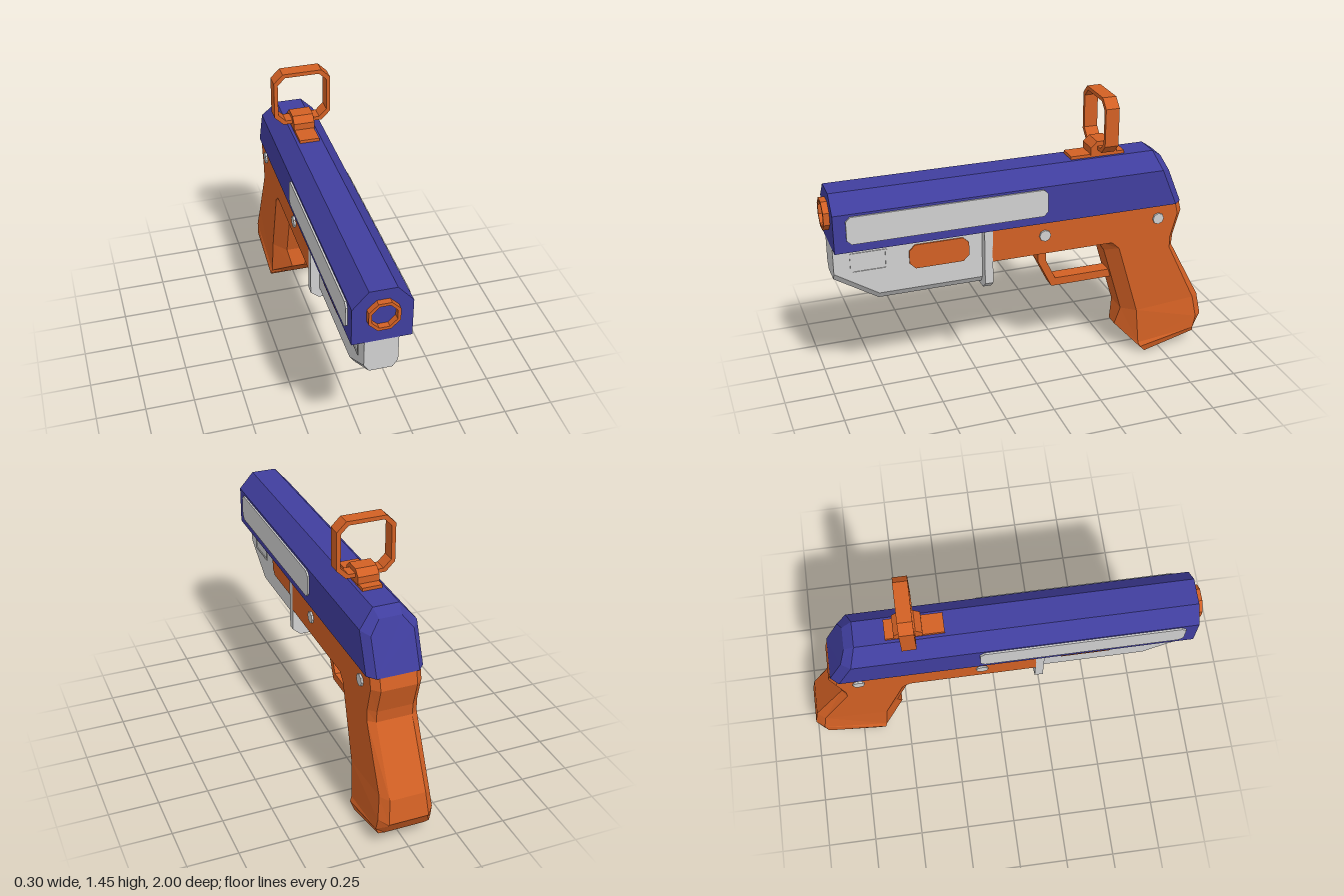
import * as THREE from 'three';

const mat = (name, color) => {
  const m = new THREE.MeshStandardMaterial({ color });
  m.name = name;
  return m;
};

// Skin a list of equal-length rings of [x, y, z] points, flat faced, with both ends capped.
function loft(rings) {
  const tris = [];
  const n = rings[0].length;
  for (let i = 0; i < rings.length - 1; i++) {
    for (let j = 0; j < n; j++) {
      const k = (j + 1) % n;
      const a = rings[i][j], b = rings[i][k], c = rings[i + 1][k], d = rings[i + 1][j];
      tris.push([a, b, c], [a, c, d]);
    }
  }
  const first = rings[0], last = rings[rings.length - 1];
  for (let j = 1; j < n - 1; j++) {
    tris.push([first[0], first[j + 1], first[j]], [last[0], last[j], last[j + 1]]);
  }
  // turn the faces outward whichever way the rings run
  let volume = 0;
  for (const [a, b, c] of tris) {
    volume += a[0] * (b[1] * c[2] - b[2] * c[1]) + a[1] * (b[2] * c[0] - b[0] * c[2]) + a[2] * (b[0] * c[1] - b[1] * c[0]);
  }
  if (volume < 0) tris.forEach((t) => t.reverse());
  const g = new THREE.BufferGeometry();
  g.setAttribute('position', new THREE.Float32BufferAttribute(tris.flat(2), 3));
  g.computeVertexNormals();
  return g;
}

// Complete a half ring of points by mirroring it across x = 0.
const mirrorRing = (half) => [...half, ...half.slice().reverse().map(([x, y, z]) => [-x, y, z])];

const polygon = (pts) => new THREE.Shape(pts.map(([x, y]) => new THREE.Vector2(x, y)));

// Rectangle outline with cut corners.
const cutRect = (x0, x1, y0, y1, c) => [
  [x0 + c, y0], [x1 - c, y0], [x1, y0 + c], [x1, y1 - c],
  [x1 - c, y1], [x0 + c, y1], [x0, y1 - c], [x0, y0 + c],
];

// Extrude a shape along z, from z0 to z1.
function extrudeZ(shape, z0, z1) {
  return new THREE.ExtrudeGeometry(shape, { depth: z1 - z0, bevelEnabled: false }).translate(0, 0, z0);
}

// Extrude a side outline of [z, y] points across x, between x0 and x1.
function extrudeX(shape, x0, x1) {
  return extrudeZ(shape, -x1, -x0).rotateY(-Math.PI / 2);
}

export function createModel() {
  const model = new THREE.Group();
  const orange = mat('orange', 0xd26024);
  const blue = mat('blue', 0x403e9e);
  const grey = mat('light grey', 0xd0d0d0);
  const add = (name, geometry, material) => {
    const mesh = new THREE.Mesh(geometry, material);
    mesh.name = name;
    model.add(mesh);
    return mesh;
  };

  // Slide: chamfered bar with a sloping, tapered back
  add('slide', loft([
    mirrorRing([[0.14, 0.85, 0.97], [0.14, 1.045, 0.97], [0.065, 1.13, 0.97]]),
    mirrorRing([[0.14, 0.85, -0.79], [0.14, 1.045, -0.71], [0.065, 1.13, -0.68]]),
    mirrorRing([[0.105, 0.85, -0.83], [0.105, 1.03, -0.757], [0.055, 1.095, -0.73]]),
  ]), blue);

  // Muzzle ring: octagon with an open middle
  const octagon = (r) => Array.from({ length: 8 }, (_, i) => {
    const a = (i + 0.5) * Math.PI / 4;
    return [r * Math.cos(a), 1.005 + r * Math.sin(a)];
  });
  const muzzle = polygon(octagon(0.079));
  muzzle.holes.push(polygon(octagon(0.063)));
  add('muzzleRing', extrudeZ(muzzle, 0.96, 1.0), orange);

  // Under-barrel housing with a sloping nose and chamfered lower edges
  const housingRing = (z, side, bottom) => mirrorRing([[0.08, 0.85, z], [0.08, side, z], [0.055, bottom, z]]);
  add('housing', loft([
    housingRing(0.97, 0.717, 0.68),
    housingRing(0.755, 0.58, 0.545),
    housingRing(0.2, 0.58, 0.545),
  ]), grey);

  // Collar between housing and frame
  add('collar', extrudeZ(polygon([
    [-0.125, 0.85], [-0.125, 0.56], [-0.085, 0.525], [0.085, 0.525], [0.125, 0.56], [0.125, 0.85],
  ]), 0.188, 0.23), grey);

  // Frame above the trigger
  const frameRing = (z) => mirrorRing([[0.125, 0.85, z], [0.125, 0.677, z], [0.06, 0.655, z]]);
  add('frame', loft([frameRing(0.19), frameRing(-0.47)]), orange);

  // Grip levels from top to bottom: front centre, front side, back side, back centre
  add('grip', loft([
    [[0.06, 0.85, -0.40], [0.125, 0.85, -0.45], [0.125, 0.85, -0.795], [0.09, 0.85, -0.83]],
    [[0.06, 0.66, -0.40], [0.125, 0.677, -0.45], [0.125, 0.79, -0.81], [0.09, 0.79, -0.845]],
    [[0.06, 0.61, -0.433], [0.125, 0.64, -0.49], [0.125, 0.66, -0.775], [0.09, 0.66, -0.807]],
    [[0.06, 0.55, -0.451], [0.125, 0.58, -0.508], [0.125, 0.60, -0.775], [0.09, 0.60, -0.802]],
    [[0.06, 0.25, -0.54], [0.125, 0.257, -0.604], [0.125, 0.28, -0.93], [0.09, 0.275, -0.973]],
    [[0.035, 0.145, -0.519], [0.13, 0.06, -0.62], [0.138, 0.165, -0.95], [0.1, 0.155, -0.995]],
    [[0.035, 0.037, -0.625], [0.14, 0.037, -0.628], [0.14, 0.1, -0.935], [0.1, 0.14, -0.985]],
    [[0.035, 0.003, -0.66], [0.13, 0.003, -0.66], [0.13, 0.075, -0.94], [0.1, 0.077, -0.947]],
  ].map(mirrorRing)), orange);

  // Trigger guard
  add('triggerGuard', extrudeX(polygon([
    [-0.08, 0.67], [-0.08, 0.59], [-0.155, 0.437], [-0.52, 0.437], [-0.52, 0.48],
    [-0.176, 0.48], [-0.123, 0.59], [-0.123, 0.67],
  ]), -0.037, 0.037), orange);

  // Ring sight on its base
  add('sightBase', new THREE.BoxGeometry(0.1, 0.025, 0.284).translate(0, 1.1335, -0.388), orange);
  add('sightMount', extrudeX(polygon([
    [-0.35, 1.14], [-0.35, 1.18], [-0.382, 1.21], [-0.455, 1.21], [-0.487, 1.18], [-0.487, 1.14],
  ]), -0.053, 0.053), orange);
  const sight = polygon(cutRect(-0.145, 0.145, 1.167, 1.452, 0.046));
  sight.holes.push(polygon(cutRect(-0.125, 0.125, 1.187, 1.432, 0.038)));
  add('ringSight', extrudeZ(sight, -0.455, -0.385), orange);

  // Details repeated on both sides
  const windowFrame = polygon(cutRect(0.708, 0.89, 0.707, 0.813, 0.004));
  windowFrame.holes.push(polygon(cutRect(0.717, 0.881, 0.716, 0.804, 0.003)));
  for (const [label, s] of [['left', 1], ['right', -1]]) {
    const plate = (shape, a, b) => extrudeX(shape, Math.min(s * a, s * b), Math.max(s * a, s * b));
    add(label + 'SlidePanel', plate(polygon(cutRect(-0.092, 0.91, 0.893, 1.033, 0.022)), 0.135, 0.149), grey);
    add(label + 'HousingPanel', plate(polygon(cutRect(0.298, 0.6, 0.686, 0.812, 0.03)), 0.075, 0.087), orange);
    add(label + 'HousingWindow', plate(windowFrame, 0.078, 0.084), grey);
    for (const z of [-0.083, -0.7]) {
      const pin = new THREE.CylinderGeometry(0.03, 0.03, 0.03, 8).toNonIndexed();
      pin.computeVertexNormals();
      add(label + 'Pin', pin.rotateZ(Math.PI / 2).translate(s * 0.12, 0.778, z), grey);
    }
  }
  return model;
}
